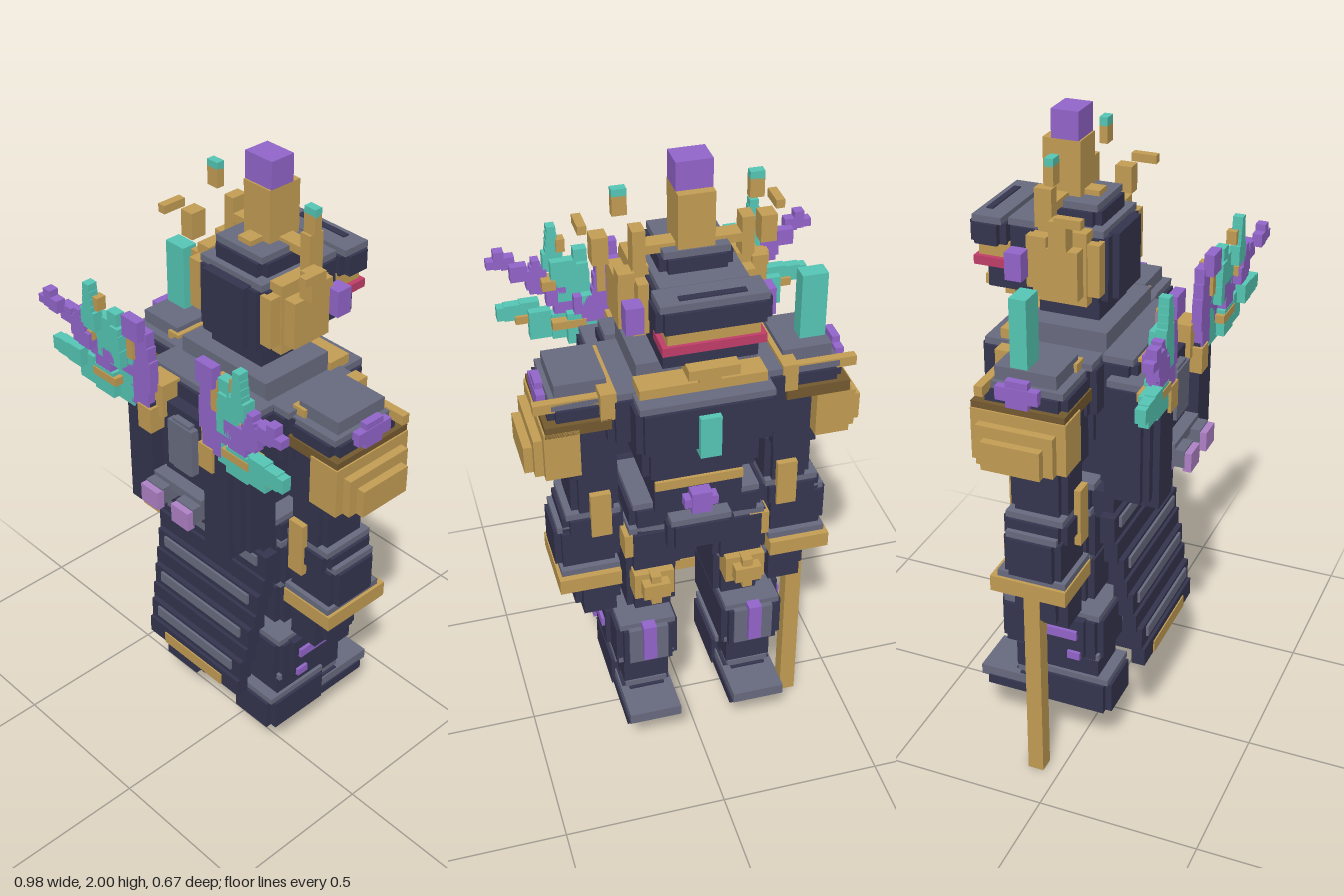
import * as THREE from 'three';

const mat = (name, color) => {
  const m = new THREE.MeshStandardMaterial({ color });
  m.name = name;
  return m;
};

export function createModel() {
  const dark = mat('dark armour', 0x353550), grey = mat('grey trim', 0x696c80), gold = mat('gold', 0xc49e54),
    purple = mat('purple', 0x9466cc), teal = mat('teal', 0x56c8b6), mauve = mat('mauve', 0xb182c8),
    crimson = mat('crimson', 0xc23e6a), bronze = mat('bronze', 0x745a30);
  const model = new THREE.Group();
  model.name = 'armouredFigure';
  let group, side;

  // Box between two corners, flipped to the current side
  const box = (m, x0, x1, y0, y1, z0, z1) => {
    const mesh = new THREE.Mesh(new THREE.BoxGeometry(x1 - x0, y1 - y0, z1 - z0), m);
    mesh.position.set(side * (x0 + x1) / 2, (y0 + y1) / 2, (z0 + z1) / 2);
    mesh.name = m.name + ' block';
    group.add(mesh);
  };
  // Box centred on x = 0
  const mid = (m, w, y0, y1, z0, z1) => box(m, -w, w, y0, y1, z0, z1);
  // Dark block with notched corners and a grey lip on top
  const plate = (x0, x1, y0, y1, z0, z1) => {
    const c = 0.02;
    box(dark, x0, x1, y0, y1 - c, z0 + c, z1 - c);
    box(dark, x0 + c, x1 - c, y0, y1 - c, z0, z1);
    box(grey, x0 + c / 2, x1 - c / 2, y1 - c, y1, z0 + c / 2, z1 - c / 2);
  };
  const part = (name, build) => {
    side = 1;
    group = new THREE.Group();
    group.name = name;
    build();
    model.add(group);
  };
  const pair = (name, build) => {
    for (const s of [1, -1]) {
      part((s > 0 ? 'left ' : 'right ') + name, () => {
        side = s;
        build();
      });
    }
  };

  part('crown', () => {
    mid(purple, .05, 1.92, 2, -.13, -.05);
    mid(gold, .05, 1.76, 1.92, -.155, -.045);
    mid(gold, .025, 1.72, 1.78, -.05, 0);
    plate(-.1, .1, 1.7, 1.765, -.17, .03);
  });

  part('head', () => {
    plate(-.13, .13, 1.5, 1.705, -.24, .06);
    mid(dark, .08, 1.5, 1.69, 0, .08);
    mid(dark, .1, 1.4, 1.5, -.15, .03);
  });

  pair('ear disc', () => {
    box(gold, .12, .165, 1.5, 1.71, -.12, .02);
    box(gold, .12, .16, 1.53, 1.68, -.16, .055);
    box(gold, .16, .205, 1.53, 1.67, -.12, .01);
    box(purple, .155, .205, 1.56, 1.64, -.205, -.155);
  });

  pair('horn', () => {
    box(gold, .05, .13, 1.75, 1.775, -.13, -.08);
    box(gold, .13, .165, 1.71, 1.82, -.13, -.08);
    box(gold, .16, .205, 1.67, 1.7, -.13, -.08);
    box(gold, .165, .205, 1.845, 1.9, -.08, -.055);
    box(teal, .165, .205, 1.895, 1.92, -.08, -.055);
    box(gold, .21, .255, 1.69, 1.77, -.05, 0);
    box(gold, .26, .285, 1.77, 1.795, -.02, .055);
  });

  part('visor', () => {
    plate(-.155, .155, 1.63, 1.71, -.338, -.23);
    mid(dark, .09, 1.7, 1.714, -.31, -.29);
    mid(gold, .125, 1.585, 1.635, -.32, -.22);
    mid(crimson, .14, 1.562, 1.588, -.33, -.235);
    mid(dark, .13, 1.5, 1.565, -.29, -.2);
    mid(gold, .07, 1.475, 1.505, -.33, -.22);
    mid(gold, .03, 1.435, 1.48, -.29, -.26);
  });

  part('torso', () => {
    mid(grey, .17, 1.375, 1.435, -.16, .08);
    plate(-.26, .26, 1.22, 1.375, -.21, .08);
    mid(gold, .18, 1.37, 1.4, -.235, -.16);
    plate(-.2, .2, 1.22, 1.37, -.29, -.19);
    mid(teal, .03, 1.2, 1.33, -.31, -.26);
    plate(-.17, .17, 1.09, 1.23, -.23, .06);
    mid(dark, .13, .94, 1.1, -.19, .05);
    mid(gold, .13, 1.02, 1.05, -.2, -.17);
  });

  part('hips', () => {
    plate(-.2, .2, .86, .96, -.18, .06);
    plate(-.1, .1, .82, .92, -.235, -.15);
    mid(purple, .03, .94, 1.01, -.23, -.17);
    mid(purple, .05, .96, .99, -.225, -.17);
  });

  pair('pauldron', () => {
    plate(.24, .42, 1.3, 1.36, -.19, .065);
    box(grey, .25, .395, 1.35, 1.4, -.15, .03);
    box(purple, .415, .44, 1.325, 1.365, -.13, -.005);
    box(purple, .415, .438, 1.305, 1.385, -.1, -.035);
    box(bronze, .25, .435, 1.27, 1.305, -.205, .07);
    box(gold, .235, .28, 1.3, 1.385, -.205, .04);
    box(gold, .28, .46, 1.335, 1.365, -.18, -.155);
    // Stepped shell flaring outwards
    for (const i of [0, 1, 2]) {
      box(gold, .34, .44 + i * .025, 1.13, 1.285 - i * .035, -.205 + i * .025, .075 - i * .028);
    }
  });

  part('shoulder post', () => box(teal, -.39, -.315, 1.38, 1.6, -.105, -.055));

  pair('arm', () => {
    box(dark, .23, .36, 1.08, 1.3, -.16, .05);
    plate(.22, .36, .94, 1.1, -.14, .035);
    box(gold, .245, .3, .82, 1, .02, .055);
    box(gold, .25, .31, .86, 1.01, -.16, -.11);
    plate(.21, .39, .86, .94, -.15, .045);
    plate(.22, .415, .75, .89, -.14, .035);
    box(grey, .23, .405, .73, .75, -.16, .05);
    box(gold, .23, .415, .68, .73, -.18, .055);
    box(dark, .24, .34, .55, .68, -.14, .03);
    plate(.22, .36, .57, .66, -.13, .02);
  });

  part('staff', () => box(gold, -.365, -.315, 0, .7, -.1, -.05));

  pair('leg', () => {
    plate(.05, .215, .72, .88, -.19, .055);
    plate(.06, .21, .56, .72, -.17, .05);
    box(gold, .16, .22, .78, .86, -.185, -.1);
    box(gold, .08, .2, .64, .73, -.215, -.12);
    box(gold, .1, .18, .66, .71, -.25, -.2);
    box(gold, .125, .155, .63, .735, -.24, -.2);
    plate(.07, .26, .39, .545, -.23, .1);
    box(grey, .105, .225, .4, .53, -.237, -.2);
    box(dark, .095, .235, .28, .4, -.19, .08);
    box(grey, .08, .255, .385, .405, -.21, .09);
    box(dark, .25, .275, .4, .53, -.13, .05);
    box(purple, .255, .285, .465, .495, -.12, .03);
    box(purple, .145, .185, .42, .55, -.255, -.22);
    box(purple, .25, .285, .395, .42, 0, .04);
  });

  pair('foot', () => {
    plate(.075, .255, .19, .31, -.12, .125);
    plate(.09, .24, .2, .275, -.2, -.08);
    box(dark, .08, .25, .19, .22, -.285, -.1);
    box(grey, .085, .245, .215, .25, -.31, -.1);
  });

  // Cape sections step outwards as they fall, each headed by a grey rib
  part('cape', () => {
    mid(dark, .2, .86, .95, .06, .115);
    const tops = [.875, .735, .612, .49, .37];
    for (let i = 0; i < 4; i++) {
      const z = .085 + i * .026, w = .23 - i * .009;
      mid(dark, w, (tops[i] + tops[i + 1]) / 2 - .01, tops[i] + .01, z, z + .045);
      mid(dark, w, tops[i + 1], (tops[i] + tops[i + 1]) / 2, z + .013, z + .055);
      mid(grey, w - .035, tops[i] - .035, tops[i], z + .02, z + .053);
    }
    mid(gold, .13, .37, .41, .17, .222);
  });

  part('backpack', () => {
    plate(-.21, .21, .98, 1.385, .07, .18);
    mid(dark, .09, .97, 1.32, .15, .22);
    mid(grey, .05, 1.14, 1.29, .2, .245);
    mid(grey, .035, 1.13, 1.3, .2, .24);
    mid(grey, .1, 1.06, 1.09, .17, .26);
    mid(mauve, .05, .965, .985, .18, .23);
  });

  pair('backpack tank', () => {
    box(dark, .11, .21, .94, 1.31, .09, .255);
    plate(.09, .255, .97, 1.335, .1, .235);
    box(grey, .03, .1, 1.02, 1.075, .2, .29);
    box(mauve, .03, .1, 1.01, 1.07, .285, .31);
    box(gold, .08, .165, 1.27, 1.375, .155, .235);
    box(gold, .1, .155, 1.22, 1.3, .2, .265);
  });

  // Crystal branch: grid-snapped cubes marching along a line, leaning back with distance
  const snap = v => Math.round(v / .025) * .025;
  const branch = (m, x0, y0, x1, y1, size) => {
    const n = Math.max(1, Math.ceil(Math.hypot(x1 - x0, y1 - y0) / (size * .8)));
    for (let i = 0; i <= n; i++) {
      const t = i / n, r = size * (1 - t * .35) / 2;
      const x = snap(x0 + (x1 - x0) * t), y = snap(y0 + (y1 - y0) * t);
      const z = .245 + snap(Math.max(0, (x - .2) * .22 + (y - 1.35) * .12));
      box(m, x - r, x + r, y - r, y + r, z - .015, z + .015);
    }
  };

  pair('crystal wing', () => {
    branch(purple, .16, 1.4, .145, 1.56, .1);
    branch(purple, .16, 1.33, .25, 1.43, .075);
    branch(teal, .23, 1.325, .34, 1.325, .1);
    branch(teal, .34, 1.36, .45, 1.385, .065);
    branch(teal, .21, 1.39, .22, 1.54, .06);
    branch(teal, .245, 1.46, .31, 1.52, .09);
    branch(teal, .3, 1.55, .31, 1.62, .04);
    branch(purple, .27, 1.4, .36, 1.46, .065);
    branch(purple, .36, 1.465, .435, 1.52, .06);
    branch(purple, .45, 1.525, .475, 1.525, .03);
    branch(purple, .45, 1.55, .46, 1.55, .03);
    branch(purple, .35, 1.49, .345, 1.53, .035);
  });

  // Gold veins run through the crystal, just proud of both faces
  pair('wing veins', () => {
    box(gold, .16, .185, 1.44, 1.54, .226, .27);
    box(gold, .22, .32, 1.33, 1.355, .226, .288);
    box(gold, .38, .42, 1.34, 1.365, .27, .302);
    box(gold, .3, .34, 1.45, 1.48, .25, .3);
    box(gold, .265, .29, 1.56, 1.6, .27, .3);
  });

  return model;
}
